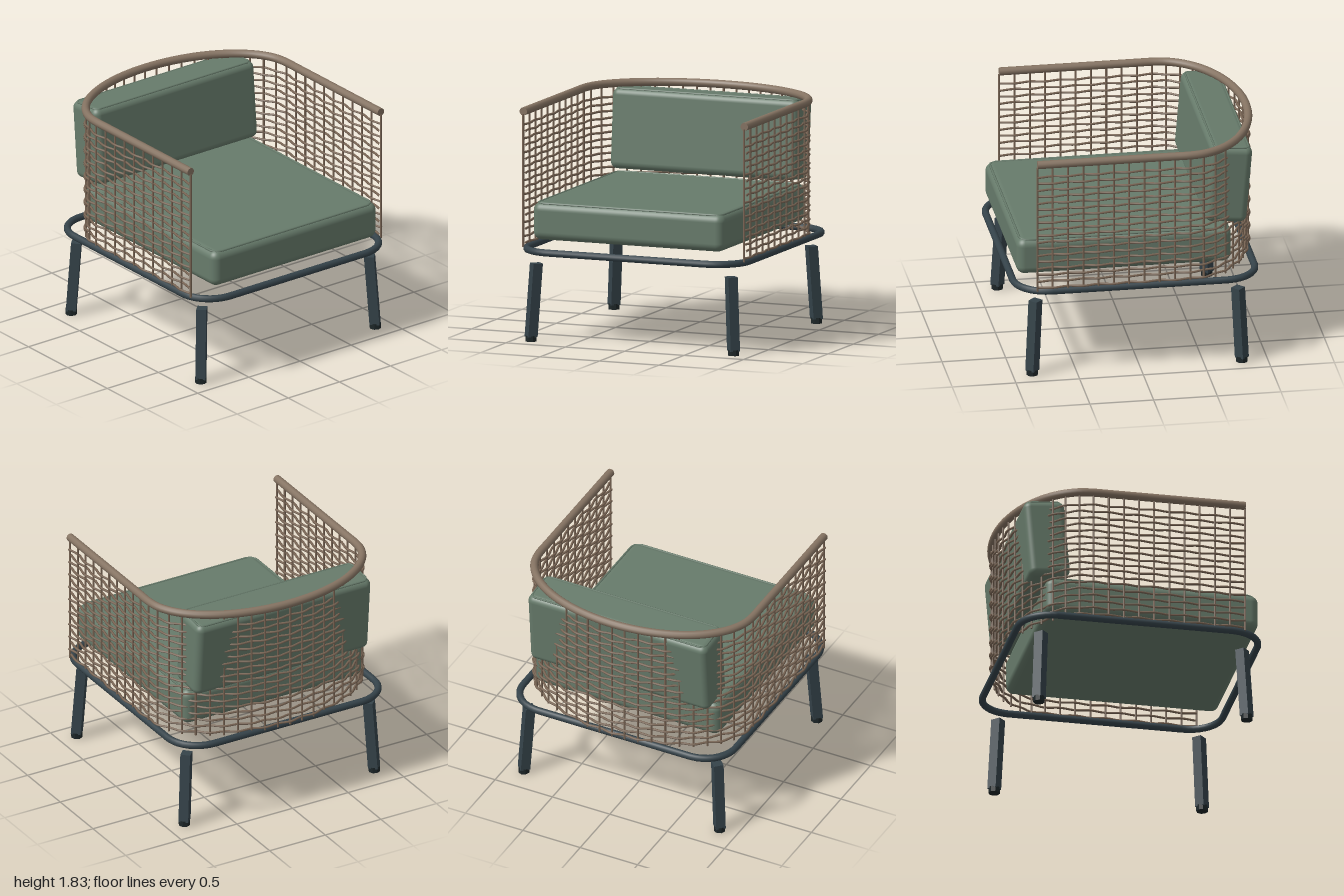
import * as THREE from 'three';
import { RoundedBoxGeometry } from 'three/addons/geometries/RoundedBoxGeometry.js';

const material = (name, color) => {
  const m = new THREE.MeshStandardMaterial({ color });
  m.name = name;
  return m;
};

// Closed rounded rectangle in the xz plane, centred on the origin
function roundedLoop(halfX, halfZ, r) {
  const pts = [];
  const corners = [[1, 1], [-1, 1], [-1, -1], [1, -1]];
  corners.forEach(([sx, sz], c) => {
    for (let i = 0; i <= 10; i++) {
      const a = (c + i / 10) * Math.PI / 2;
      pts.push(new THREE.Vector3(sx * (halfX - r) + r * Math.cos(a), 0, sz * (halfZ - r) + r * Math.sin(a)));
    }
  });
  return new THREE.CatmullRomCurve3(pts, true, 'catmullrom', 0);
}

// Plan of the surrounding shell: straight arms joined by a half ellipse.
// Returns evenly spaced stations with outward normals.
function shellStations() {
  const a = 0.93, b = 0.585, zFront = 0.82, zArc = -0.38, arms = 10, back = 22;
  const list = [];
  const arc = new THREE.EllipseCurve(0, zArc, a, b, Math.PI, 2 * Math.PI);
  const arm = (x, t) => list.push({ x, z: zFront + (zArc - zFront) * t, nx: Math.sign(x), nz: 0 });
  for (let i = 0; i < arms; i++) arm(-a, i / arms);
  for (let i = 0; i <= back; i++) {
    const p = arc.getPointAt(i / back), t = arc.getTangentAt(i / back);
    list.push({ x: p.x, z: p.y, nx: t.y, nz: -t.x });
  }
  for (let i = arms - 1; i >= 0; i--) arm(a, i / arms);
  return list;
}

export function createModel() {
  const model = new THREE.Group();
  model.name = 'armchair';

  const cushionMat = material('sage fabric', 0x677b6b);
  const railMat = material('brown rail', 0x857362);
  const weaveMat = material('brown cane', 0x7a6655);
  const frameMat = material('slate metal', 0x35434a);
  const footMat = material('dark foot', 0x1d2628);

  const add = (parent, name, geometry, mat) => {
    const mesh = new THREE.Mesh(geometry, mat);
    mesh.name = name;
    parent.add(mesh);
    return mesh;
  };
  const group = (name, parent = model) => {
    const g = new THREE.Group();
    g.name = name;
    parent.add(g);
    return g;
  };

  // Base ring
  add(model, 'baseFrame', new THREE.TubeGeometry(roundedLoop(0.925, 0.948, 0.26), 160, 0.028, 10, true), frameMat)
    .position.set(0, 0.723, 0.022);

  // Splayed square legs with small feet
  const legs = group('legs');
  for (const sx of [-1, 1]) {
    for (const [name, zTop, zBottom] of [['Front', 0.818, 0.848], ['Back', -0.772, -0.797]]) {
      const leg = group((sx > 0 ? 'left' : 'right') + name + 'Leg', legs);
      const geo = new THREE.CylinderGeometry(0.055, 0.055, 0.575, 4).toNonIndexed();
      geo.computeVertexNormals();
      const pos = geo.attributes.position;
      for (let i = 0; i < pos.count; i++) {
        const t = pos.getY(i) > 0 ? 1 : 0;
        pos.setX(i, pos.getX(i) + sx * (t ? 0.82 : 0.852));
        pos.setZ(i, pos.getZ(i) + (t ? zTop : zBottom));
      }
      geo.computeVertexNormals();
      add(leg, 'legPost', geo, frameMat).position.y = 0.3225;
      const foot = new THREE.CylinderGeometry(0.046, 0.046, 0.045, 8, 1).toNonIndexed();
      foot.computeVertexNormals();
      add(leg, 'foot', foot, footMat).position.set(sx * 0.853, 0.0225, zBottom);
    }
  }

  // Seat cushion with a seam around its top edge
  const seat = group('seatCushion');
  seat.position.set(0, 0.963, 0.115);
  add(seat, 'seatPad', new RoundedBoxGeometry(1.61, 0.295, 1.684, 5, 0.065), cushionMat);
  add(seat, 'seatPiping', new THREE.TubeGeometry(roundedLoop(0.775, 0.812, 0.06), 140, 0.009, 6, true), cushionMat)
    .position.y = 0.14;

  // Leaning back cushion
  const back = group('backCushion');
  back.position.set(0, 1.452, -0.712);
  back.rotation.x = -0.085;
  add(back, 'backPad', new RoundedBoxGeometry(1.565, 0.63, 0.325, 5, 0.055), cushionMat);
  const backSeam = add(back, 'backPiping',
    new THREE.TubeGeometry(roundedLoop(0.755, 0.135, 0.04), 120, 0.008, 6, true), cushionMat);
  backSeam.position.y = 0.308;

  // Curved top rail with closed ends
  const stations = shellStations();
  const rail = group('topRail');
  rail.position.y = 1.795;
  const railPath = new THREE.CatmullRomCurve3(stations.map(s => new THREE.Vector3(s.x, 0, s.z)));
  add(rail, 'railTube', new THREE.TubeGeometry(railPath, 120, 0.032, 12), railMat);
  for (const sx of [-1, 1]) {
    add(rail, 'railEnd', new THREE.CircleGeometry(0.032, 12), railMat).position.set(sx * 0.93, 0, 0.82);
  }

  // Upright canes
  const weave = group('wovenShell');
  const upright = new THREE.CylinderGeometry(0.008, 0.008, 1.045, 6);
  for (const s of stations) add(weave, 'uprightCane', upright, weaveMat).position.set(s.x, 1.252, s.z);

  // Horizontal canes passing alternately inside and outside the uprights
  const rows = 18;
  for (let r = 0; r < rows; r++) {
    const y = 0.757 + (r / (rows - 1)) * 0.933;
    const pts = stations.map((s, i) => {
      const d = (i + r) % 2 ? 0.01 : -0.01;
      return new THREE.Vector3(s.x + s.nx * d, y, s.z + s.nz * d);
    });
    const path = new THREE.CatmullRomCurve3(pts);
    path.arcLengthDivisions = 400;
    add(weave, 'horizontalCane', new THREE.TubeGeometry(path, 168, 0.0095, 6), weaveMat);
  }

  return model;
}
